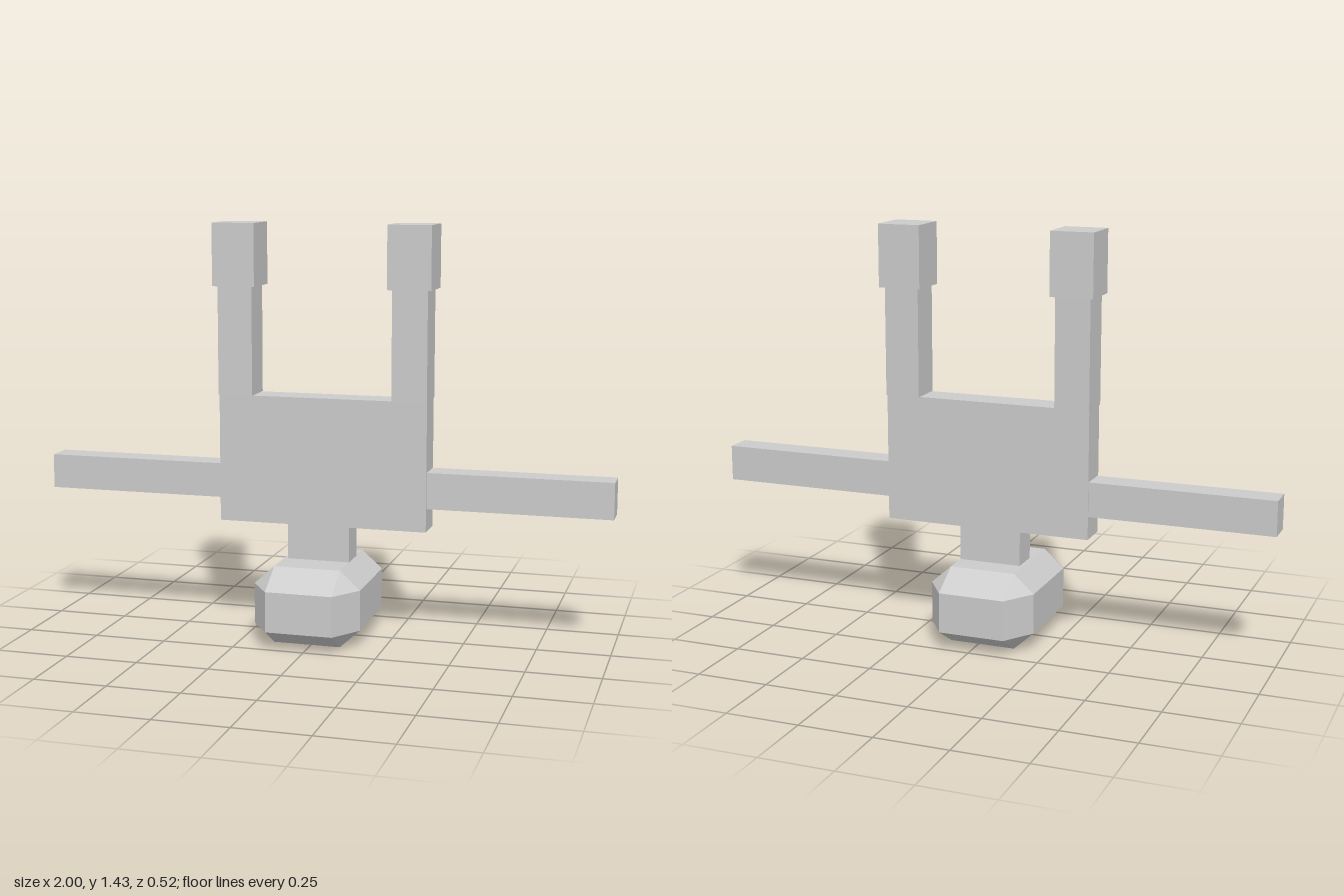
import * as THREE from 'three';
import { ConvexGeometry } from 'three/addons/geometries/ConvexGeometry.js';

const material = new THREE.MeshStandardMaterial({ color: 0xcccccc, flatShading: true });

// Box given by its limits on each axis
function block(name, [x0, x1], [y0, y1], [z0, z1]) {
  const mesh = new THREE.Mesh(new THREE.BoxGeometry(x1 - x0, y1 - y0, z1 - z0), material);
  mesh.name = name;
  mesh.position.set((x0 + x1) / 2, (y0 + y1) / 2, (z0 + z1) / 2);
  return mesh;
}

// Box with all edges and corners bevelled: each corner is cut to three points
function bevelledBlock(name, half, inner) {
  const points = [];
  for (const sx of [-1, 1]) for (const sy of [-1, 1]) for (const sz of [-1, 1]) {
    for (const [x, y, z] of [
      [half.x, inner.y, inner.z],
      [inner.x, half.y, inner.z],
      [inner.x, inner.y, half.z],
    ]) points.push(new THREE.Vector3(sx * x, sy * y, sz * z));
  }
  const mesh = new THREE.Mesh(new ConvexGeometry(points), material);
  mesh.name = name;
  return mesh;
}

export function createModel() {
  const model = new THREE.Group();
  model.name = 'upsideDownFigure';

  // Head on the ground, slightly off centre
  const head = bevelledBlock('head', { x: 0.187, y: 0.134, z: 0.26 }, { x: 0.116, y: 0.07, z: 0.154 });
  head.position.set(-0.014, 0.134, 0);
  model.add(head);

  // Neck and torso
  model.add(block('neck', [-0.117, 0.103], [0.268, 0.39], [-0.065, 0.035]));
  model.add(block('torso', [-0.363, 0.371], [0.39, 0.835], [-0.072, 0.035]));

  // Arms stretched sideways, legs and feet pointing up
  model.add(block('leftArm', [0.371, 1], [0.47, 0.595], [-0.069, 0.027]));
  model.add(block('rightArm', [-1, -0.363], [0.47, 0.59], [-0.069, 0.027]));
  for (const [side, x] of [['left', 0.31], ['right', -0.304]]) {
    model.add(block(side + 'Leg', [x - 0.061, x + 0.061], [0.835, 1.21], [-0.08, 0.039]));
    model.add(block(side + 'Foot', [x - 0.075, x + 0.075], [1.21, 1.426], [-0.097, 0.054]));
  }
  return model;
}
